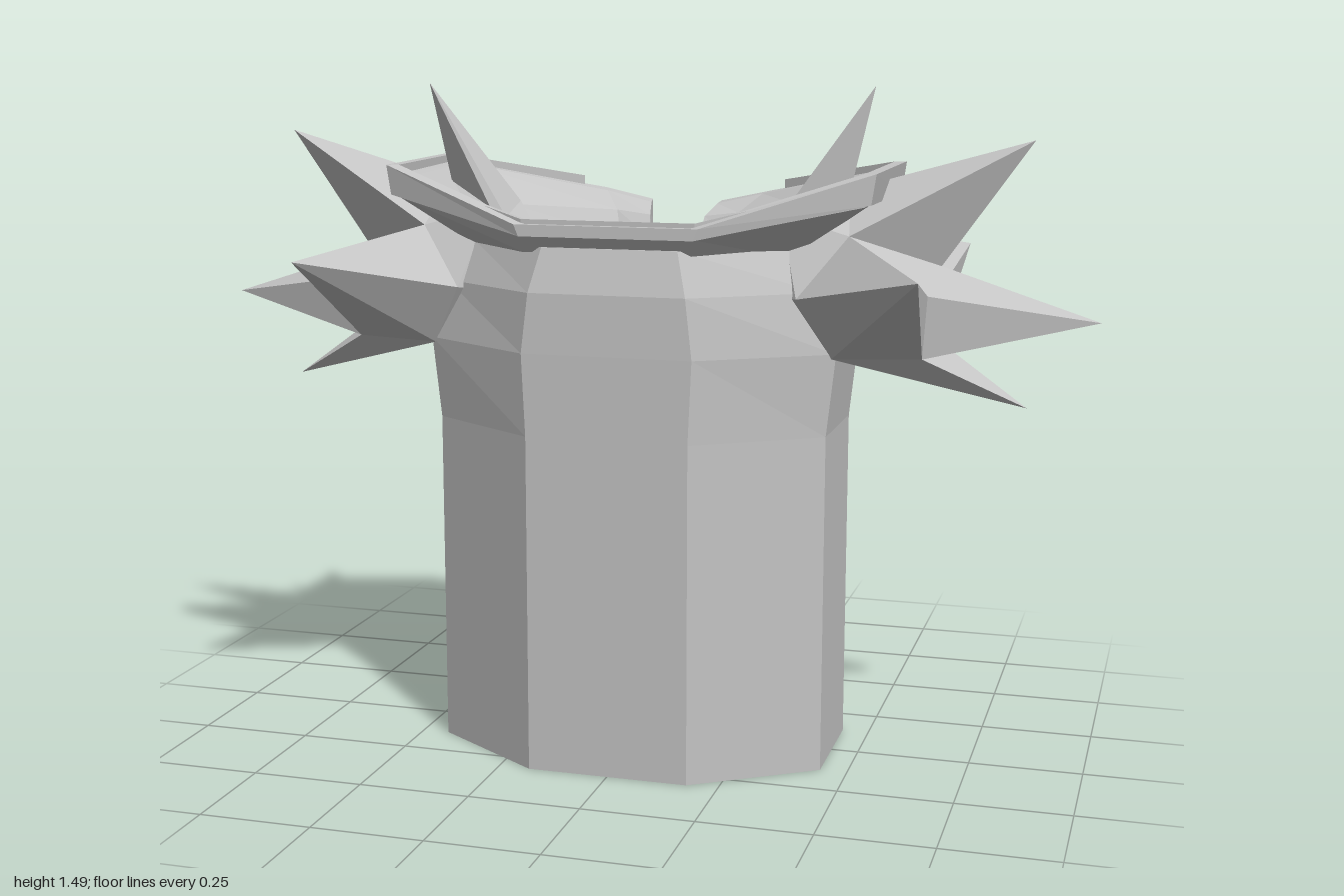
import * as THREE from 'three';
import { ConvexGeometry } from 'three/addons/geometries/ConvexGeometry.js';

const grey = new THREE.MeshStandardMaterial({ color: 0xc4c4c4 });
grey.name = 'grey';
grey.flatShading = true;

function named(geometry, name) {
  const mesh = new THREE.Mesh(geometry, grey);
  mesh.name = name;
  return mesh;
}

function fromTriangles(tris) {
  const g = new THREE.BufferGeometry();
  g.setAttribute('position', new THREE.Float32BufferAttribute(tris.flat(2), 3));
  g.computeVertexNormals();
  return g;
}

// Closed loft through sections; each section is an even loop: outer side, then inner side back
function loft(sections) {
  let tris = [];
  const n = sections[0].length;
  const quad = (a, b, c, d) => tris.push([a, b, c], [a, c, d]);
  for (let s = 0; s < sections.length - 1; s++) {
    const p = sections[s], q = sections[s + 1];
    for (let i = 0; i < n; i++) quad(p[i], p[(i + 1) % n], q[(i + 1) % n], q[i]);
  }
  const first = sections[0], last = sections[sections.length - 1];
  for (let i = 0; i < n / 2 - 1; i++) {
    quad(first[i], first[n - 1 - i], first[n - 2 - i], first[i + 1]);
    quad(last[i], last[i + 1], last[n - 2 - i], last[n - 1 - i]);
  }
  // Turn the skin outward if its enclosed volume is negative
  let volume = 0;
  for (const [a, b, c] of tris) {
    volume += new THREE.Vector3(...a).dot(new THREE.Vector3(...b).cross(new THREE.Vector3(...c)));
  }
  if (volume < 0) tris = tris.map(([a, b, c]) => [a, c, b]);
  return fromTriangles(tris);
}

const flip = ([x, y, z]) => [-x, y, z];
// Left half of the sections, run from back to front, plus its mirror image
const mirrored = half => [...half, ...half.slice().reverse().map(s => s.map(flip))];

// Tunic wall: outer and inner plan corners, swept up through scaled rings
function bodyWall() {
  const plan = [
    [0.078, -0.305, 0.078, -0.25], [0.18, -0.305, 0.15, -0.25], [0.44, -0.135, 0.37, -0.11],
    [0.44, 0.135, 0.37, 0.11], [0.18, 0.308, 0.15, 0.25],
  ];
  const rings = [[0, 1, 1], [0.75, 1, 1], [0.93, 1.045, 1], [1.06, 0.96, 0.99], [1.155, 0.83, 0.91]];
  return loft(mirrored(plan.map(([ox, oz, ix, iz], k) => {
    const sx = s => (k === 0 ? 1 : s); // keep the opening edge straight
    const outer = rings.map(([y, a, b]) => [ox * sx(a), y, oz * b]);
    const inner = rings.map(([y, a, b]) => [ix * sx(a), y, iz * b]).reverse();
    return [...outer, ...inner];
  })));
}

// Flared collar, dipping at the back ends: rim corners [x, z, low y, high y], neck corners [x, z], bowl height
function collar() {
  const corners = [
    [0.085, -0.355, 1.165, 1.21, 0.06, -0.235, 1.18], [0.20, -0.355, 1.19, 1.235, 0.13, -0.235, 1.19],
    [0.52, -0.18, 1.25, 1.305, 0.31, -0.1, 1.21], [0.52, 0.165, 1.245, 1.295, 0.31, 0.1, 1.2],
    [0.19, 0.295, 1.18, 1.215, 0.13, 0.23, 1.17],
  ];
  return loft(mirrored(corners.map(([x, z, low, high, nx, nz, bowl]) => [
    [nx + (nx > 0.1 ? 0.04 : 0), 1.13, nz * 1.12], [x, low, z], [x, high, z],
    [x * 0.95, high - 0.005, z * 0.92], [nx + (x - nx) * 0.25, bowl, nz + (z - nz) * 0.25], [nx, 1.13, nz],
  ])));
}

// Raised band around the collar rim
function collarBand() {
  const corners = [
    [0.27, -0.345, 1.215, 1.265], [0.55, -0.19, 1.25, 1.32], [0.545, 0.175, 1.25, 1.315], [0.2, 0.312, 1.18, 1.205],
  ];
  return loft(mirrored(corners.map(([x, z, low, high]) => [
    [x - 0.01, low, z], [x, high, z], [x - 0.025, high, z * 0.93], [x - 0.025, low, z * 0.93],
  ])));
}

// Shoulder burst: long spikes sharing the valley corners of one core
function shoulderSpikes(side) {
  const core = [0.45, 1.08, 0];
  const U = [0.66, 1.11, 0], D = [0.67, 0.94, 0], I = [0.46, 1.27, 0], K = [0.42, 0.93, 0];
  const N = [0.2, 1.05, 0], P = [0.33, 1.19, 0];
  const F = [0.65, 1.06, 0.13], T = [0.48, 1.18, 0.12], B = [0.38, 1.05, 0.18];
  const Lo = [0.64, 0.925, 0.12], Li = [0.45, 0.92, 0.14], M = [0.33, 1.22, 0.1], S = [0.29, 1.04, 0.1];
  const z = (p, s) => [p[0], p[1], p[2] * s];
  const tris = [];
  // One triangle, turned to face away from the given inside point
  const add = (inside, ...t) => {
    const [a, b, c] = t.map(p => new THREE.Vector3(...p));
    const normal = b.clone().sub(a).cross(c.clone().sub(a));
    const facesIn = normal.dot(a.clone().sub(new THREE.Vector3(...inside))) < 0;
    const ordered = facesIn ? [t[0], t[2], t[1]] : t;
    tris.push(side > 0 ? ordered : [ordered[0], ordered[2], ordered[1]].map(flip));
  };
  const spike = (tip, base) => {
    const middle = [0, 1, 2].map(k => base.reduce((sum, p) => sum + p[k], 0) / base.length);
    const inside = middle.map((m, k) => m * 0.7 + tip[k] * 0.3);
    base.forEach((p, i) => add(inside, tip, p, base[(i + 1) % base.length]));
  };
  spike([1, 1, 0], [U, F, Lo, D, z(Lo, -1), z(F, -1)]);
  spike([0.85, 1.38, 0], [U, T, I, z(T, -1)]);
  spike([0.85, 0.81, 0], [D, Lo, Li, K, z(Li, -1), z(Lo, -1)]);
  spike([0.51, 1.49, 0], [I, M, P, z(M, -1)]);
  for (const s of [1, -1]) {
    const [f, t, b, lo, li, m, n] = [F, T, B, Lo, Li, M, S].map(p => z(p, s));
    spike([0.67, 1.12, 0.405 * s], [f, t, b, li, lo]);
    // Core faces between the spikes
    const faces = [[U, f, t], [I, t, m], [P, m, N], [N, m, n], [m, t, b], [m, b, n], [n, b, li], [n, li, K], [N, n, K]];
    for (const face of faces) add(core, ...face);
  }
  return fromTriangles(tris);
}

// Pointed lapel beside the opening, bent round the back corner; corners are [x, y, z, thickness]
function lapel(side) {
  const group = new THREE.Group();
  const slab = outline => {
    const pts = outline.flatMap(([x, y, z, thick]) => [
      new THREE.Vector3(x * side, y, z), new THREE.Vector3(x * side, y, z - thick)]);
    return named(new ConvexGeometry(pts), 'lapelPanel');
  };
  group.add(slab([[0.075, 0.72, -0.305, 0.045], [0.09, 0.72, -0.305, 0.045], [0.185, 0.89, -0.302, 0.045],
    [0.185, 1.1, -0.295, 0.05], [0.075, 1.14, -0.29, 0.05]]));
  group.add(slab([[0.185, 0.89, -0.3, 0.047], [0.185, 1.1, -0.29, 0.055],
    [0.35, 1.08, -0.185, 0.03], [0.34, 1.04, -0.19, 0.03]]));
  group.name = side > 0 ? 'leftLapel' : 'rightLapel';
  return group;
}

export function createModel() {
  const model = new THREE.Group();
  model.name = 'spikedTunic';
  model.add(named(bodyWall(), 'body'), named(collar(), 'collar'), named(collarBand(), 'collarBand'));
  for (const side of [1, -1]) {
    model.add(named(shoulderSpikes(side), side > 0 ? 'leftShoulderSpikes' : 'rightShoulderSpikes'));
    model.add(lapel(side));
  }
  // Six-sided buttons down one edge of the opening
  for (const y of [0.175, 0.37, 0.565]) {
    const button = named(new THREE.CylinderGeometry(0.037, 0.037, 0.032, 6), 'button');
    button.rotation.x = Math.PI / 2;
    button.position.set(0.125, y, -0.328);
    model.add(button);
  }
  return model;
}
